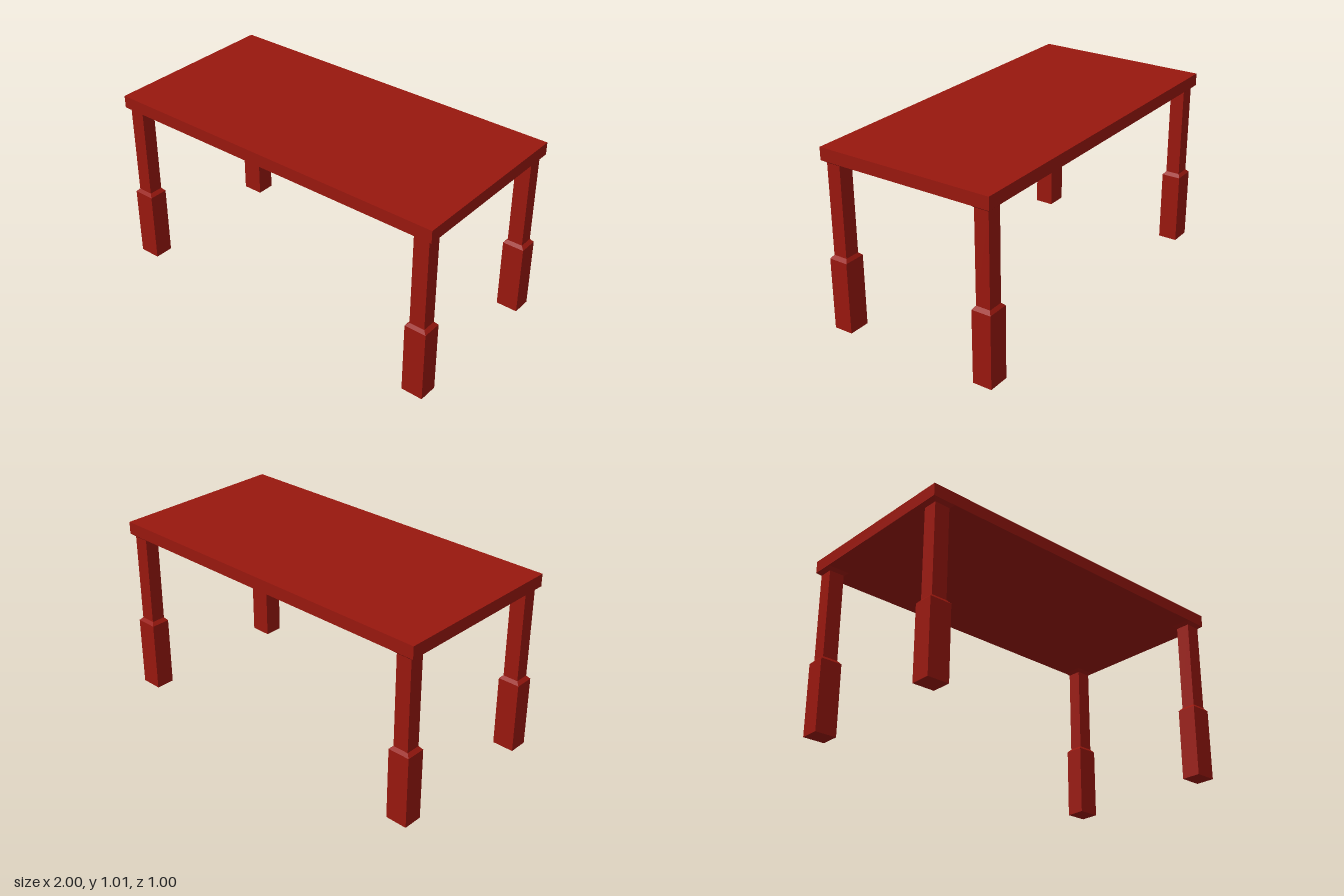
import * as THREE from 'three';

const material = new THREE.MeshStandardMaterial({ color: 0x98170e, flatShading: true });

// Box from y0 to y1 whose bottom and top may differ in [width, depth]
function taperedBlock(name, y0, y1, bottom, top = bottom) {
  const geometry = new THREE.BoxGeometry(1, 1, 1);
  const pos = geometry.attributes.position;
  for (let i = 0; i < pos.count; i++) {
    const isTop = pos.getY(i) > 0;
    const [w, d] = isTop ? top : bottom;
    pos.setXYZ(i, pos.getX(i) * w, isTop ? y1 : y0, pos.getZ(i) * d);
  }
  geometry.computeVertexNormals();
  const mesh = new THREE.Mesh(geometry, material);
  mesh.name = name;
  return mesh;
}

// Square leg: thick foot, sloped shoulder, slim shaft, flared head
function createLeg() {
  const foot = [0.122, 0.108];
  const shaft = [0.086, 0.08];
  const head = [0.126, 0.116];
  const leg = new THREE.Group();
  leg.add(
    taperedBlock('legFoot', 0, 0.402, foot),
    taperedBlock('legShoulder', 0.402, 0.42, foot, shaft),
    taperedBlock('legShaft', 0.42, 0.922, shaft),
    taperedBlock('legHead', 0.922, 0.938, shaft, head)
  );
  return leg;
}

export function createModel() {
  const table = new THREE.Group();
  table.name = 'table';

  // Flat slab top
  table.add(taperedBlock('tableTop', 0.938, 1.007, [2, 1]));

  // One leg in each corner
  for (const [side, x] of [['Left', 0.934], ['Right', -0.934]]) {
    for (const [end, z] of [['front', 0.441], ['back', -0.441]]) {
      const leg = createLeg();
      leg.name = `${end}${side}Leg`;
      leg.position.set(x, 0, z);
      table.add(leg);
    }
  }
  return table;
}
